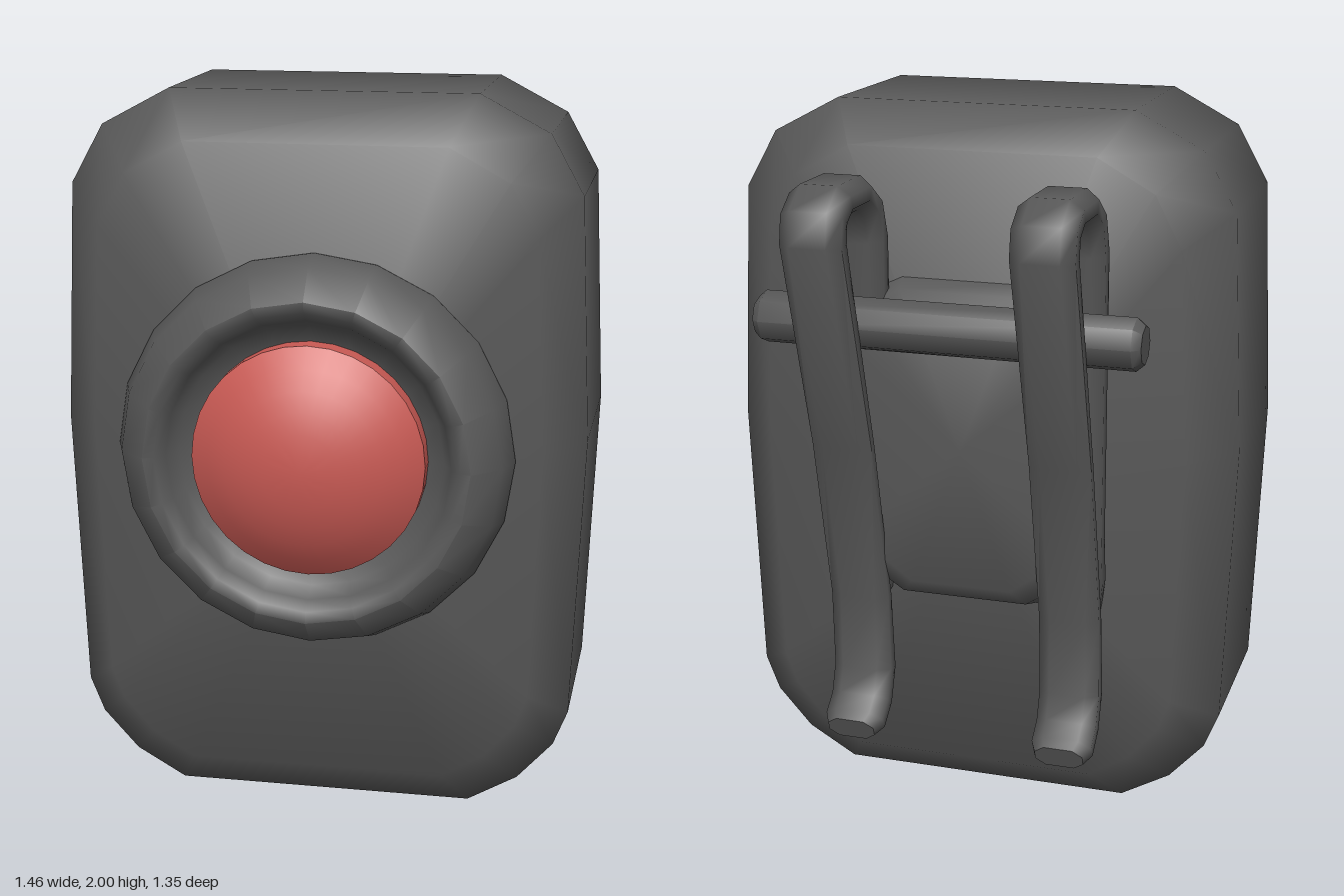
import * as THREE from 'three';
import { toCreasedNormals, mergeVertices } from 'three/addons/utils/BufferGeometryUtils.js';

const V = (x, y, z) => new THREE.Vector3(x, y, z);

// Skin a row of closed cross-sections and close both ends with fans
function loft(sections, crease = 1.0) {
  const n = sections[0].length, pos = [], idx = [];
  sections.forEach(s => s.forEach(p => pos.push(p.x, p.y, p.z)));
  for (let i = 0; i < sections.length - 1; i++) {
    for (let j = 0; j < n; j++) {
      const k = (j + 1) % n;
      const a = i * n + j, b = i * n + k, c = a + n, d = b + n;
      idx.push(a, b, d, a, d, c);
    }
  }
  [0, sections.length - 1].forEach((s, end) => {
    const mid = V(0, 0, 0);
    sections[s].forEach(p => mid.addScaledVector(p, 1 / n));
    const m = pos.length / 3;
    pos.push(mid.x, mid.y, mid.z);
    for (let j = 0; j < n; j++) {
      const a = s * n + j, b = s * n + (j + 1) % n;
      if (end) idx.push(m, a, b); else idx.push(m, b, a);
    }
  });
  const g = new THREE.BufferGeometry();
  g.setAttribute('position', new THREE.Float32BufferAttribute(pos, 3));
  g.setIndex(idx);
  return toCreasedNormals(g, crease);
}

// Full outline, counter-clockwise from the front, from its right half (bottom to top)
const mirrorX = half => [...half, ...half.slice().reverse().map(([x, y]) => [-x, y])];

// Outline scaled about a centre height and placed at depth z
const slice = (outline, sx, sy, cy, z) =>
  outline.map(([x, y]) => V(x * sx, cy + (y - cy) * sy, z));

// Surface of revolution facing +z
function turned(profile, segments, crease) {
  const g = new THREE.LatheGeometry(profile.map(([r, z]) => new THREE.Vector2(r, z)), segments);
  g.rotateX(Math.PI / 2);
  g.deleteAttribute('uv');
  g.deleteAttribute('normal');
  return toCreasedNormals(mergeVertices(g, 1e-4), crease);
}

// Flat wire with eight-sided section along [z, y, halfThickness] points
function clipGeometry(path) {
  const X = V(1, 0, 0), w = 0.086;
  const pts = path.map(([z, y]) => V(0, y, z));
  const sections = pts.map((p, i) => {
    const before = pts[Math.max(i - 1, 0)], after = pts[Math.min(i + 1, pts.length - 1)];
    const d1 = p.clone().sub(before).normalize(), d2 = after.clone().sub(p).normalize();
    const t = d1.add(d2).normalize();
    const nrm = t.clone().cross(X);
    const h = path[i][2], end = i === 0 || i === pts.length - 1 ? 0.8 : 1;
    const ring = [[w, -h * 0.4], [w, h * 0.4], [w * 0.6, h], [-w * 0.6, h],
      [-w, h * 0.4], [-w, -h * 0.4], [-w * 0.6, -h], [w * 0.6, -h]];
    return ring.map(([a, b]) => p.clone().addScaledVector(X, a * end).addScaledVector(nrm, b * end));
  });
  return loft(sections, 1.1);
}

export function createModel() {
  const model = new THREE.Group();
  const grey = new THREE.MeshStandardMaterial({ color: 0x585858 });
  grey.name = 'dark grey plastic';
  const red = new THREE.MeshStandardMaterial({ color: 0xc95a54 });
  red.name = 'red button';
  const add = (name, geometry, material = grey) => {
    const mesh = new THREE.Mesh(geometry, material);
    mesh.name = name;
    model.add(mesh);
    return mesh;
  };

  // Bevelled case
  const outline = mirrorX([[0.42, 0], [0.56, 0.08], [0.66, 0.19], [0.7, 0.29],
    [0.73, 1.08], [0.7, 1.74], [0.61, 1.9], [0.42, 2]]);
  add('case', loft([
    slice(outline, 0.83, 0.89, 1, -0.275),
    slice(outline, 1, 1, 1, -0.155),
    slice(outline, 0.99, 1, 1, 0.335),
    slice(outline, 0.84, 0.875, 1, 0.458),
  ]));

  // Raised ring around the button
  add('buttonRing', turned([[0.54, 0.44], [0.542, 0.465], [0.515, 0.54], [0.44, 0.608],
    [0.41, 0.6], [0.385, 0.57], [0.36, 0.52], [0.3, 0.5]], 20, 1.0)).position.y = 1.05;

  // Domed button
  const dome = [[0.315, 0.48]];
  for (let i = 0; i <= 6; i++) {
    const r = 0.315 * (1 - i / 6);
    dome.push([r, 0.2 + Math.sqrt(0.48 * 0.48 - r * r)]);
  }
  add('button', turned(dome, 32, 0.9), red).position.y = 1.05;

  // Mounting plate on the back
  const plate = mirrorX([[0.2, 0.62], [0.33, 0.7], [0.39, 0.8], [0.39, 1.38], [0.33, 1.48], [0.2, 1.54]]);
  add('backPlate', loft([
    slice(plate, 0.72, 0.85, 1.08, -0.38),
    slice(plate, 0.9, 0.95, 1.08, -0.345),
    slice(plate, 1, 1, 1.08, -0.26),
  ]));

  // Pair of bent belt clips
  const clip = clipGeometry([
    [-0.28, 0.62, 0.035], [-0.31, 0.72, 0.045], [-0.328, 0.85, 0.047], [-0.328, 1.65, 0.047],
    [-0.36, 1.745, 0.046], [-0.43, 1.792, 0.046], [-0.565, 1.792, 0.046],
    [-0.618, 1.755, 0.046], [-0.628, 1.69, 0.046], [-0.455, 1.1, 0.028], [-0.345, 0.62, 0.03],
    [-0.328, 0.39, 0.046], [-0.36, 0.3, 0.046], [-0.415, 0.253, 0.044], [-0.45, 0.24, 0.042],
  ]);
  for (const side of [1, -1]) {
    add(side > 0 ? 'leftClip' : 'rightClip', clip).position.x = 0.309 * side;
  }

  // Cross bar through the clips
  const bar = turned([[0, -0.535], [0.052, -0.535], [0.072, -0.512],
    [0.072, 0.512], [0.052, 0.535], [0, 0.535]], 8, 0.8);
  bar.rotateY(Math.PI / 2);
  add('crossBar', bar).position.set(0, 1.45, -0.472);

  // Centre the depth
  model.children.forEach(m => { m.position.z += 0; });
  return model;
}
